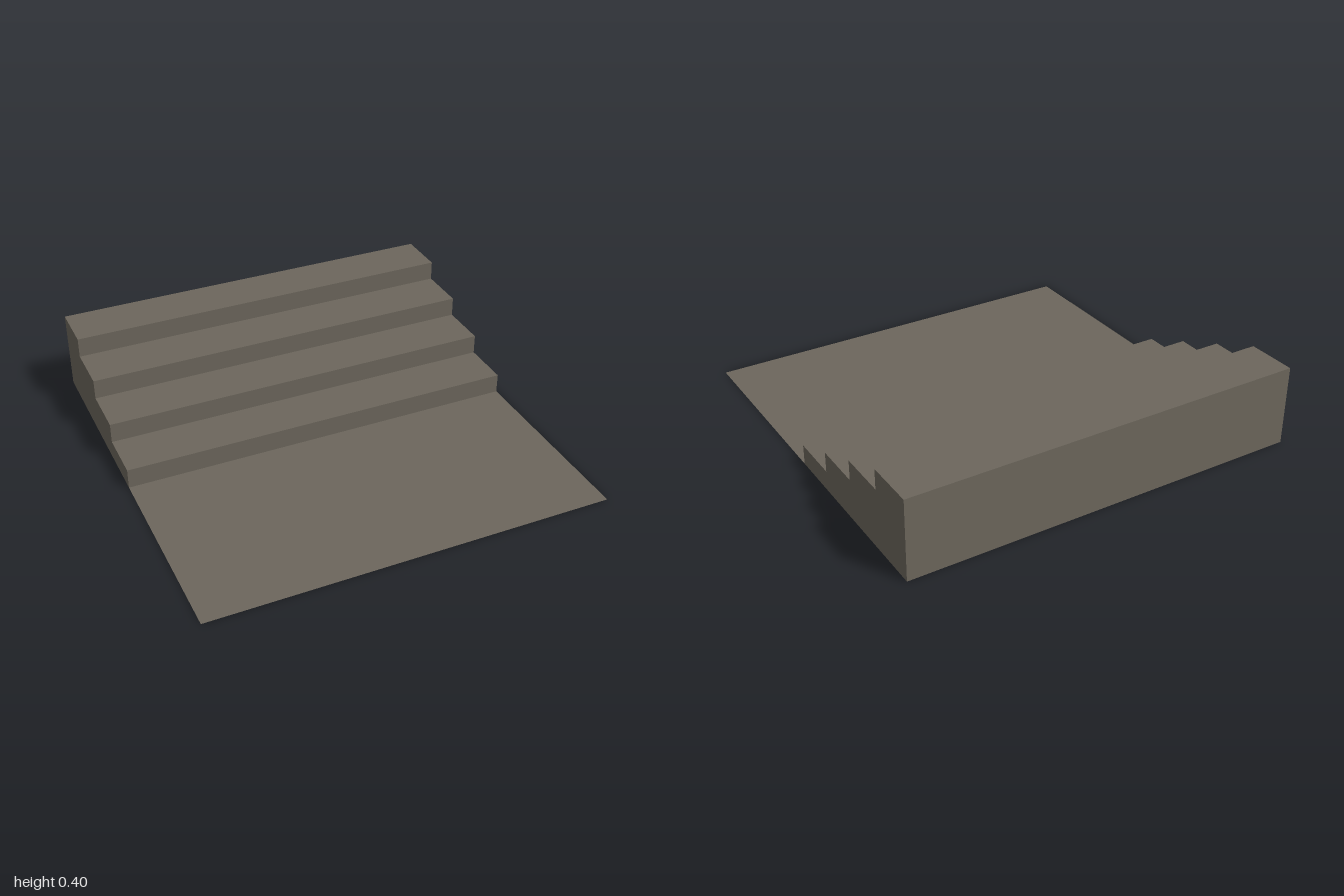
import * as THREE from 'three';

const WIDTH = 2, STEPS = 4, RISE = 0.1, RUN = 0.25;

export function createModel() {
  const group = new THREE.Group();
  const stone = new THREE.MeshStandardMaterial({ color: 0x6c665c, side: THREE.DoubleSide });
  stone.name = 'stone';

  const add = (name, geometry, x, y, z) => {
    const mesh = new THREE.Mesh(geometry, stone);
    mesh.name = name;
    mesh.position.set(x, y, z);
    group.add(mesh);
    return mesh;
  };
  const horizontal = (name, depth, y, z) =>
    add(name, new THREE.PlaneGeometry(WIDTH, depth).rotateX(-Math.PI / 2), 0, y, z);
  const vertical = (name, height, y, z) =>
    add(name, new THREE.PlaneGeometry(WIDTH, height), 0, y, z);

  // Flat landing in front of the stairs
  horizontal('landing', 1, 0, 0.5);

  // Risers and treads, and the stepped side outline (distance back, height)
  const outline = new THREE.Shape().moveTo(0, 0);
  for (let i = 0; i < STEPS; i++) {
    const top = (i + 1) * RISE;
    vertical('riser' + (i + 1), RISE, top - RISE / 2, -i * RUN);
    horizontal('tread' + (i + 1), RUN, top, -(i + 0.5) * RUN);
    outline.lineTo(i * RUN, top).lineTo((i + 1) * RUN, top);
  }
  outline.lineTo(STEPS * RUN, 0).closePath();

  // Back wall, facing backwards
  vertical('backWall', STEPS * RISE, STEPS * RISE / 2, -STEPS * RUN).rotation.y = Math.PI;

  // Side walls; the underside of the stairs stays open
  const rightWall = new THREE.ShapeGeometry(outline).rotateY(Math.PI / 2);
  add('leftSideWall', rightWall, WIDTH / 2, 0, 0);
  const mirrored = new THREE.Shape(outline.getPoints().map(p => new THREE.Vector2(-p.x, p.y)));
  add('rightSideWall', new THREE.ShapeGeometry(mirrored).rotateY(-Math.PI / 2), -WIDTH / 2, 0, 0);

  return group;
}
